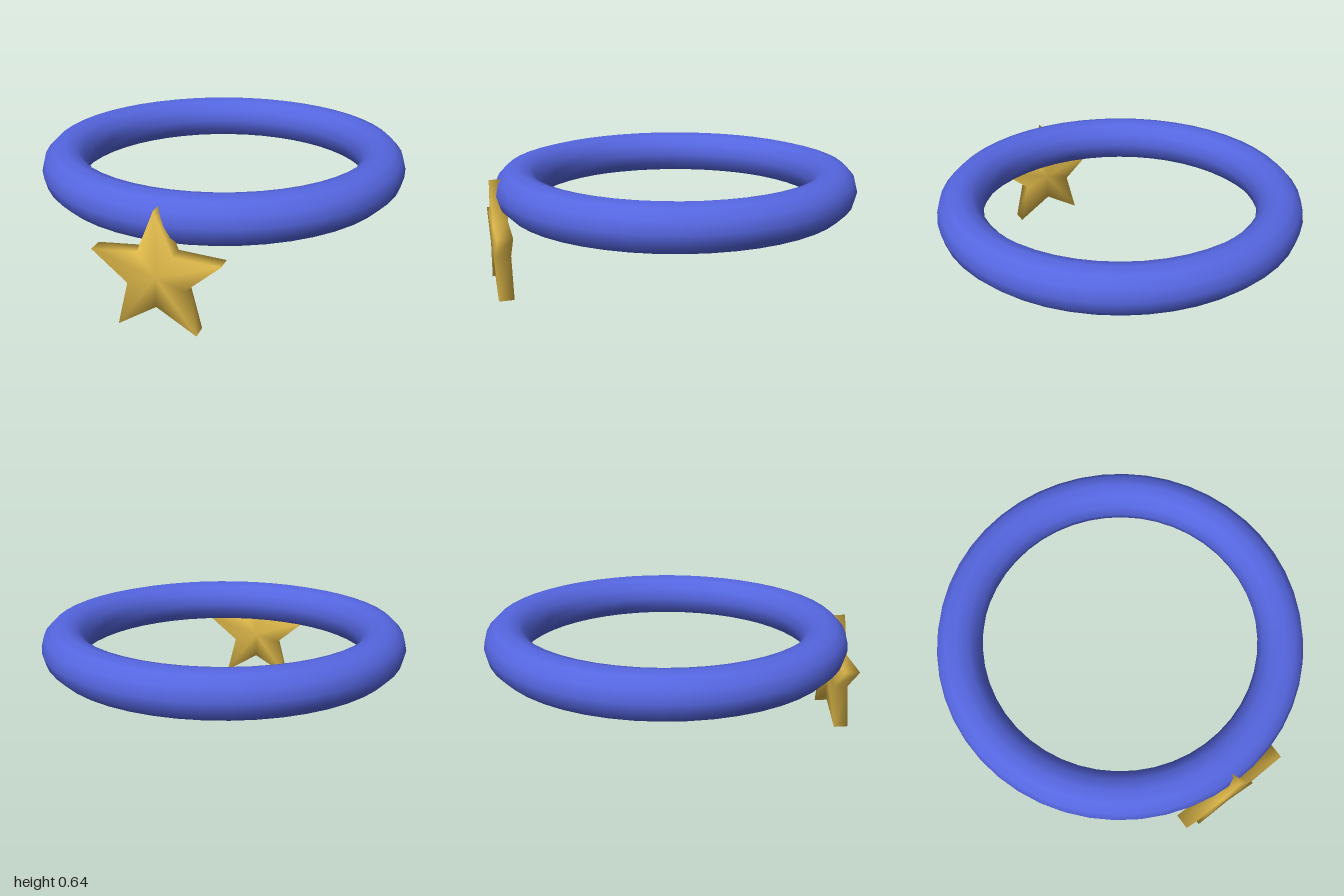
import * as THREE from 'three';

// Thick five-pointed star; shared vertices give it softly rounded shading
function starGeometry(outer, inner, depth) {
  const points = 10, positions = [], index = [];
  for (const z of [depth / 2, -depth / 2]) {
    for (let i = 0; i < points; i++) {
      const a = Math.PI / 2 + (i * Math.PI) / 5;
      const r = i % 2 ? inner : outer;
      positions.push(Math.cos(a) * r, Math.sin(a) * r, z);
    }
    positions.push(0, 0, z);
  }
  const back = points + 1;
  for (let i = 0; i < points; i++) {
    const j = (i + 1) % points;
    index.push(points, i, j); // front fan
    index.push(back + points, back + j, back + i); // back fan
    index.push(i, back + i, back + j, i, back + j, j); // rim
  }
  const geometry = new THREE.BufferGeometry();
  geometry.setAttribute('position', new THREE.Float32BufferAttribute(positions, 3));
  geometry.setIndex(index);
  geometry.computeVertexNormals();
  return geometry;
}

export function createModel() {
  const group = new THREE.Group();
  const blue = new THREE.MeshStandardMaterial({ color: 0x5566e0 });
  blue.name = 'blue';
  const gold = new THREE.MeshStandardMaterial({ color: 0xdfb94a });
  gold.name = 'gold';

  // Horizontal ring
  const ring = new THREE.Mesh(new THREE.TorusGeometry(0.863, 0.123, 12, 48), blue);
  ring.name = 'ring';
  ring.rotation.x = -Math.PI / 2;
  ring.position.set(0, 0.517, -0.014);
  group.add(ring);

  // Star charm on the front of the ring
  const star = new THREE.Mesh(starGeometry(0.332, 0.148, 0.08), gold);
  star.name = 'starCharm';
  star.position.set(0, 0.268, 0.96);
  group.add(star);

  return group;
}
